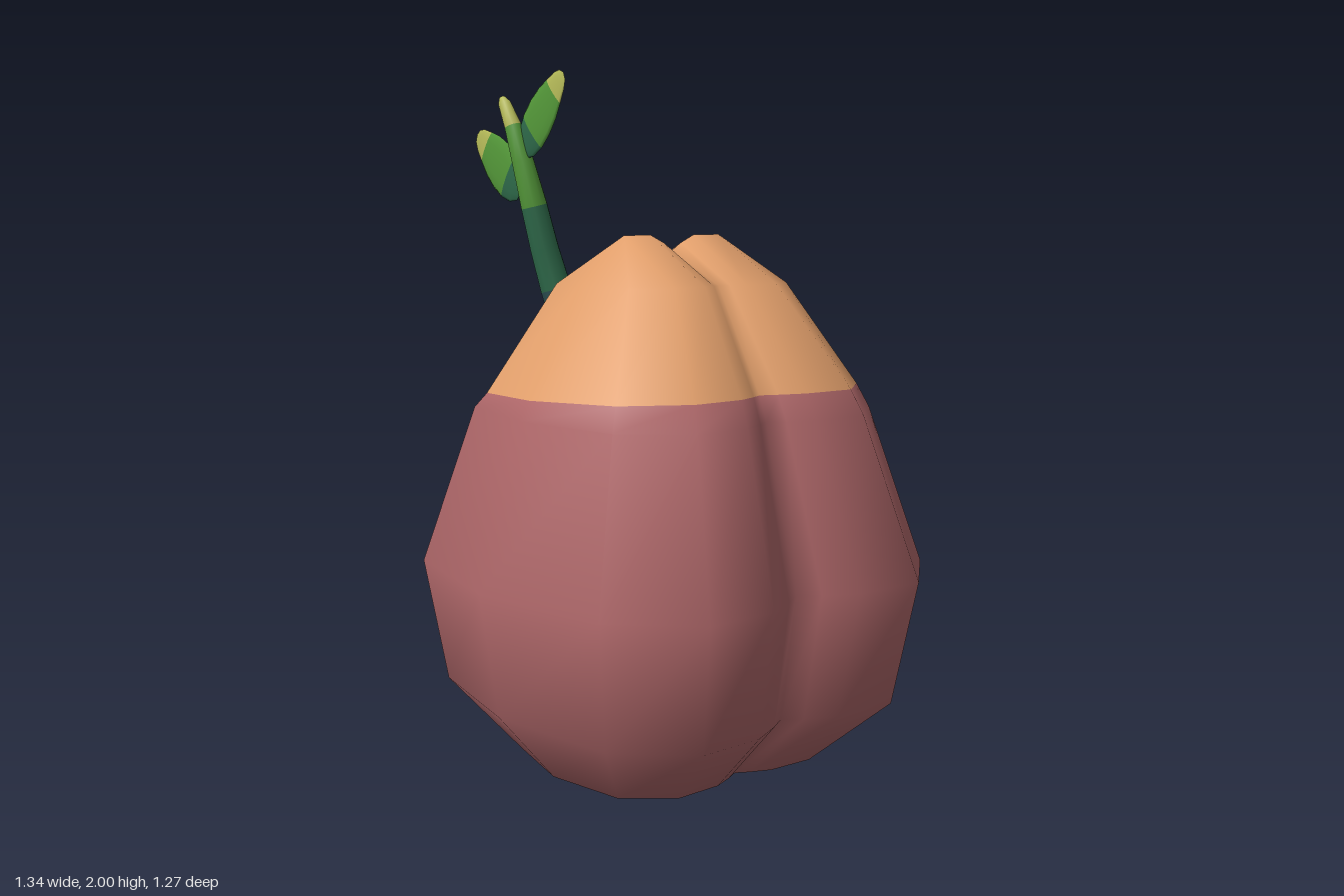
import * as THREE from 'three';
import { mergeVertices } from 'three/addons/utils/BufferGeometryUtils.js';

const mat = (name, color) => new THREE.MeshStandardMaterial({ name, color });

// Joins closed rings of points; bands[i] is the material index between ring i and i + 1.
function loft(name, rings, bands, materials) {
  const n = rings[0].length;
  const index = [];
  let geo = new THREE.BufferGeometry().setFromPoints(rings.flat());
  bands.forEach((band, i) => {
    geo.addGroup(index.length, n * 6, band);
    for (let j = 0; j < n; j++) {
      const a = i * n + j, b = i * n + (j + 1) % n;
      index.push(a, b, b + n, a, b + n, a + n);
    }
  });
  geo.setIndex(index);
  geo = mergeVertices(geo, 1e-5);
  geo.computeVertexNormals();
  const mesh = new THREE.Mesh(geo, materials);
  mesh.name = name;
  return mesh;
}

// Elliptical rings along a path: each station is [x, y, z, half width, half depth].
function sweep(stations, sides) {
  const pts = stations.map(s => new THREE.Vector3(s[0], s[1], s[2]));
  return stations.map((s, i) => {
    const t = pts[Math.min(i + 1, pts.length - 1)].clone().sub(pts[Math.max(i - 1, 0)]).normalize();
    const u = new THREE.Vector3(0, 0, 1).cross(t).normalize();
    const v = t.clone().cross(u);
    return Array.from({ length: sides }, (_, k) => {
      const a = k / sides * Math.PI * 2;
      return pts[i].clone().addScaledVector(u, Math.cos(a) * s[3]).addScaledVector(v, Math.sin(a) * s[4]);
    });
  });
}

// Two-lobed outline, mirrored from one quarter that runs from the crease to the lobe's end.
function lobedOutline() {
  const q = [[0.85, 0], [0.91, 0.09], [0.985, 0.236], [1, 0.567], [0.705, 0.882], [0, 1]];
  const back = [...q, ...q.slice(0, -1).reverse().map(([x, z]) => [-x, z])];
  return [
    ...back.map(([x, z]) => [x, -z]),
    ...back.slice(1, -1).reverse().map(([x, z]) => [x, z]),
  ];
}

function buildBody(materials) {
  const cx = 0.057;
  // The second half of the outline runs from the left crease back to the right one.
  const outline = lobedOutline();
  const ring = (y, w, d, tilt = 0) =>
    outline.map(([x, z]) => new THREE.Vector3(cx + x * w, y + tilt * x * w, z * d));
  // The ends close to a ridge along z, with a dip at the crease.
  const ridge = (depth, limit, height) => outline.map(([, z]) => {
    const zz = Math.sign(z) * Math.min(Math.abs(z) * depth, limit);
    return new THREE.Vector3(cx, height(Math.abs(zz)), zz);
  });
  const rings = [
    ridge(0.41, 0.24, z => z < 0.01 ? 0.012 : z > 0.23 ? 0.02 : 0.003),
    ring(0.087, 0.33, 0.41),
    ring(0.29, 0.548, 0.58),
    ring(0.635, 0.61, 0.635),
    ring(1.075, 0.467, 0.503),
    ring(1.127, 0.434, 0.473, 0.04),
    ring(1.42, 0.236, 0.31),
    ridge(0.32, 0.165, z => z < 0.01 ? 1.51 : z < 0.05 ? 1.53 : 1.552),
  ];
  return loft('body', rings, [0, 0, 0, 0, 0, 1, 1], materials);
}

function buildStem(materials) {
  const stations = [
    [-0.275, 1.155, 0.045, 0, 0],
    [-0.28, 1.165, 0.05, 0.035, 0.035],
    [-0.30, 1.20, 0.06, 0.05, 0.05],
    [-0.34, 1.29, 0.085, 0.05, 0.05],
    [-0.363, 1.39, 0.107, 0.047, 0.047],
    [-0.38, 1.51, 0.135, 0.043, 0.043],
    [-0.39, 1.63, 0.162, 0.04, 0.04],
    [-0.408, 1.76, 0.188, 0.033, 0.033],
    [-0.435, 1.86, 0.203, 0.026, 0.026],
    [-0.468, 1.925, 0.21, 0.019, 0.019],
    [-0.48, 1.942, 0.211, 0.01, 0.01],
    [-0.484, 1.946, 0.211, 0, 0],
  ];
  return loft('stem', sweep(stations, 10), [0, 0, 0, 0, 1, 1, 2, 2, 3, 3, 3], materials);
}

// Thin rounded leaf from base to tip.
function buildLeaf(name, base, tip, width, materials) {
  const profile = [[0, 0], [0.02, 0.45], [0.12, 0.78], [0.27, 0.97], [0.45, 1], [0.62, 0.9],
    [0.77, 0.7], [0.9, 0.5], [0.97, 0.3], [1, 0]];
  const stations = profile.map(([t, w]) => [
    base[0] + (tip[0] - base[0]) * t,
    base[1] + (tip[1] - base[1]) * t,
    0.187, w * width, w * 0.01,
  ]);
  return loft(name, sweep(stations, 12), [1, 1, 1, 2, 2, 2, 3, 3, 3], materials);
}

export function createModel() {
  const skin = [mat('dusty red', 0xb0686a), mat('soft orange', 0xe3a06c)];
  const greens = [
    mat('dark teal', 0x2c5052),
    mat('deep green', 0x2f6b4b),
    mat('leaf green', 0x559a3a),
    mat('pale yellow green', 0xb8bd5a),
  ];
  const model = new THREE.Group();
  model.name = 'sproutingFruit';
  model.add(
    buildBody(skin),
    buildStem(greens),
    buildLeaf('leftLeaf', [-0.415, 1.785], [-0.195, 1.998], 0.069, greens),
    buildLeaf('rightLeaf', [-0.42, 1.672], [-0.665, 1.845], 0.076, greens),
  );
  return model;
}
